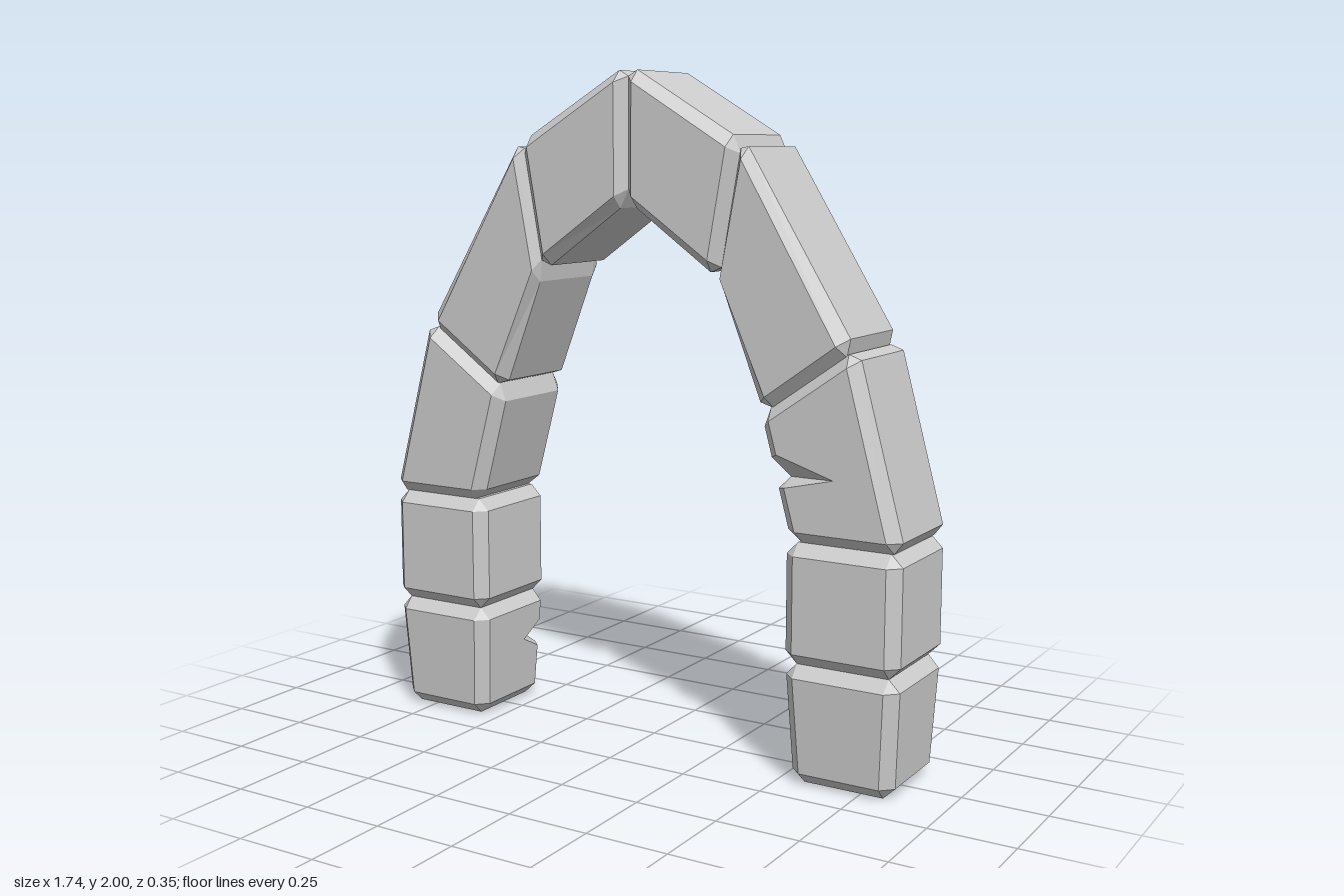
import * as THREE from 'three';

const BEVEL = 0.035;
const material = new THREE.MeshStandardMaterial({ color: 0xcccccc, flatShading: true });

// Corner points of the joints between stones, from the ground to the crown: [x, y]
const SECTIONS = [
  { inner: [[0.54, 0], [0.52, 0.35]], outer: [[0.852, 0], [0.87, 0.35]], depth: [0.155, 0.175] },
  { inner: [[0.52, 0.35], [0.52, 0.7]], outer: [[0.87, 0.35], [0.87, 0.7]] },
  { inner: [[0.533, 0.7], [0.437, 1.05]], outer: [[0.878, 0.7], [0.728, 1.253]] },
  { inner: [[0.445, 1.05], [0.3, 1.42]], outer: [[0.722, 1.245], [0.37, 1.815]] },
  { inner: [[0.3, 1.417], [0, 1.63]], outer: [[0.37, 1.8], [0, 2.017]] },
];
const NAMES = ['baseStone', 'pillarStone', 'springerStone', 'haunchStone', 'crownStone'];

// Chipped edges. w: 1 front, 0 back; low/high: opening along the edge;
// faceTip and innerTip: ends of the crack as [u, v, w] inside the stone
const CHIPS = {
  left2: { w: 1, low: 0.4, high: 0.7, faceTip: [0.56, 0.41, 1], innerTip: [0, 0.47, 0.66] },
  right0: { w: 0, low: 0.46, high: 0.77, faceTip: [0.42, 0.58, 0], innerTip: [0, 0.58, 0.34] },
};

// Bevelled six-sided stone; u runs inner to outer, v bottom to top, w back to front
function stoneGeometry({ inner, outer, depth = [0.175, 0.175] }, mirror, chip) {
  const positions = [];
  const at = (u, v, w) => {
    const mix = THREE.MathUtils.lerp;
    const x = mix(mix(inner[0][0], inner[1][0], v), mix(outer[0][0], outer[1][0], v), u);
    const y = mix(mix(inner[0][1], inner[1][1], v), mix(outer[0][1], outer[1][1], v), u);
    return new THREE.Vector3(x * mirror, y, mix(depth[0], depth[1], v) * (2 * w - 1));
  };
  const centre = at(0.5, 0.5, 0.5);

  // Corner s pulled in along the two edges that bound the face on this axis
  const vert = (axis, s) => {
    const corner = at(...s);
    const p = corner.clone();
    for (let k = 0; k < 3; k++) {
      if (k === axis) continue;
      const next = [...s];
      next[k] = 1 - next[k];
      p.addScaledVector(at(...next).sub(corner).normalize(), BEVEL);
    }
    return p;
  };
  // Fan of triangles turned to face outward, or along a given direction
  const fan = (points, facing) => {
    for (let i = 1; i < points.length - 1; i++) {
      const [a, b, c] = [points[0], points[i], points[i + 1]];
      const n = b.clone().sub(a).cross(c.clone().sub(a));
      const out = facing || a.clone().add(b).add(c).divideScalar(3).sub(centre);
      for (const p of n.dot(out) > 0 ? [a, b, c] : [a, c, b]) positions.push(p.x, p.y, p.z);
    }
  };
  const sides = (axis, side, b, sb, c, sc) => {
    const s = [];
    s[axis] = side; s[b] = sb; s[c] = sc;
    return s;
  };

  // Chip points on the two faces that meet at the chipped edge
  let cut = null;
  if (chip) {
    const along = (axis, t) => vert(axis, [0, 0, chip.w]).lerp(vert(axis, [0, 1, chip.w]), t);
    cut = {
      faceTip: at(...chip.faceTip), innerTip: at(...chip.innerTip),
      faceLow: along(2, chip.low), faceHigh: along(2, chip.high),
      innerLow: along(0, chip.low), innerHigh: along(0, chip.high),
    };
    fan([cut.faceHigh, cut.faceTip, cut.innerTip, cut.innerHigh], new THREE.Vector3(0, -1, 0));
    fan([cut.faceLow, cut.faceTip, cut.innerTip, cut.innerLow], new THREE.Vector3(0, 1, 0));
  }

  for (let axis = 0; axis < 3; axis++) {
    const b = (axis + 1) % 3, c = (axis + 2) % 3;
    // Main faces
    for (const side of [0, 1]) {
      if (cut && axis === 2 && side === chip.w) {
        const q = [[0, 0], [1, 0], [1, 1], [0, 1]].map(([u, v]) => vert(2, [u, v, side]));
        fan([cut.faceTip, cut.faceLow, ...q, cut.faceHigh]);
      } else if (cut && axis === 0 && side === 0) {
        const near = chip.w, far = 1 - near;
        const q = [[0, near], [0, far], [1, far], [1, near]].map(([v, w]) => vert(0, [0, v, w]));
        fan([cut.innerTip, cut.innerLow, ...q, cut.innerHigh]);
      } else {
        fan([[0, 0], [1, 0], [1, 1], [0, 1]].map(([i, j]) => vert(axis, sides(axis, side, b, i, c, j))));
      }
    }
    // Bevels along the edges parallel to this axis
    for (const i of [0, 1]) for (const j of [0, 1]) {
      const lo = sides(axis, 0, b, i, c, j), hi = sides(axis, 1, b, i, c, j);
      if (cut && axis === 1 && lo[0] === 0 && lo[2] === chip.w) {
        fan([vert(2, lo), cut.faceLow, cut.innerLow, vert(0, lo)]);
        fan([vert(2, hi), cut.faceHigh, cut.innerHigh, vert(0, hi)]);
      } else {
        fan([vert(b, lo), vert(b, hi), vert(c, hi), vert(c, lo)]);
      }
    }
  }
  // Corner triangles
  for (let k = 0; k < 8; k++) {
    const s = [k & 1, (k >> 1) & 1, k >> 2];
    fan([vert(0, s), vert(1, s), vert(2, s)]);
  }

  const geometry = new THREE.BufferGeometry();
  geometry.setAttribute('position', new THREE.Float32BufferAttribute(positions, 3));
  geometry.computeVertexNormals();
  return geometry;
}

export function createModel() {
  const arch = new THREE.Group();
  arch.name = 'stoneArch';
  for (const [side, mirror] of [['left', 1], ['right', -1]]) {
    const half = new THREE.Group();
    half.name = side + 'Half';
    SECTIONS.forEach((section, i) => {
      const stone = new THREE.Mesh(stoneGeometry(section, mirror, CHIPS[side + i]), material);
      stone.name = NAMES[i];
      half.add(stone);
    });
    arch.add(half);
  }
  return arch;
}
